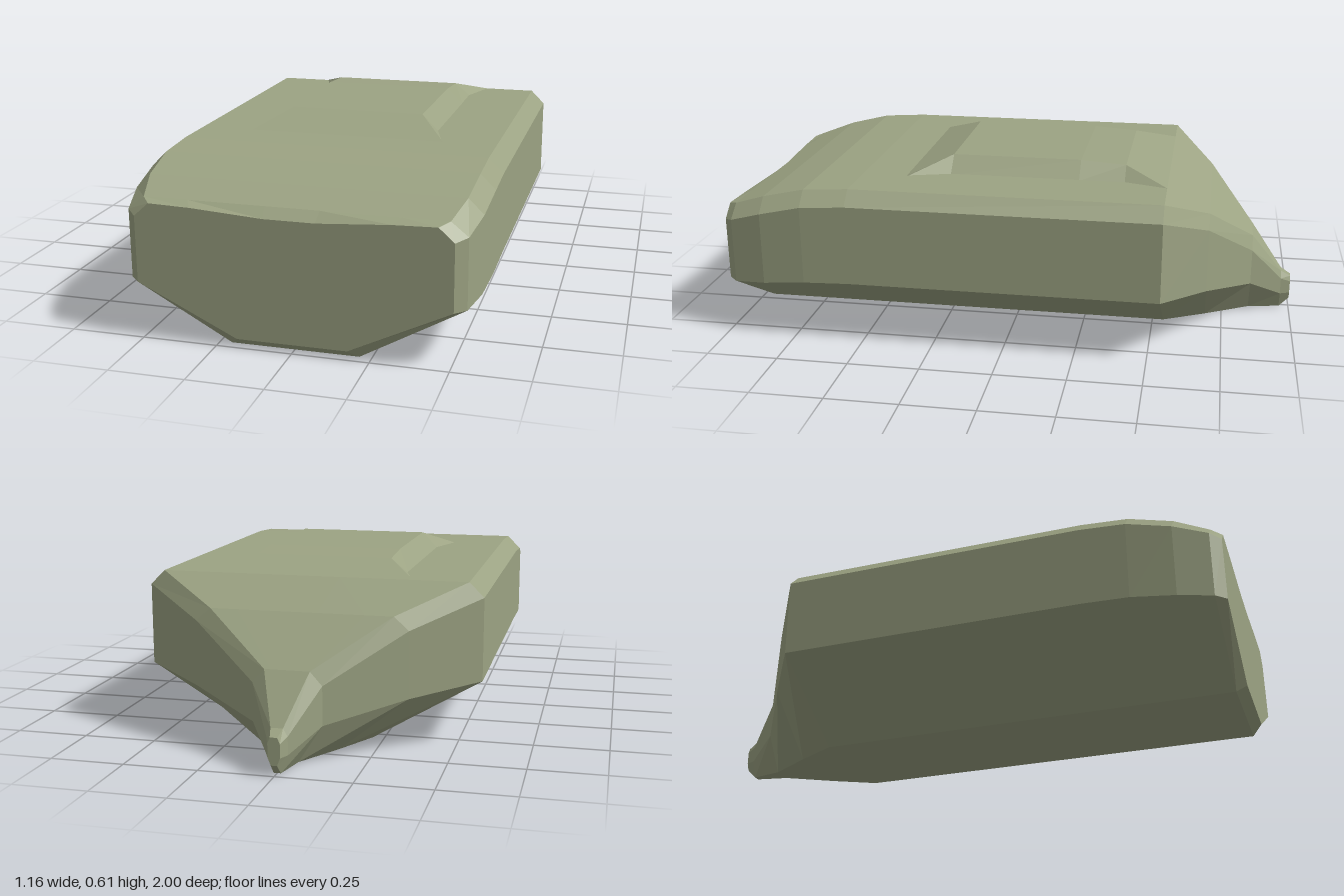
import * as THREE from 'three';

const material = new THREE.MeshStandardMaterial({ color: 0x9ca383, flatShading: true });

// Joins closed rings of [x, y, z] points, ordered front to back, and caps both ends.
function loft(name, rings) {
  const pos = [];
  const tri = (a, b, c) => pos.push(...a, ...b, ...c);
  const n = rings[0].length;
  for (let i = 0; i < rings.length - 1; i++) {
    for (let j = 0; j < n; j++) {
      const k = (j + 1) % n;
      const [a, b, c, d] = [rings[i][j], rings[i][k], rings[i + 1][k], rings[i + 1][j]];
      tri(a, d, c);
      tri(a, c, b);
    }
  }
  const cap = (ring, front) => {
    const mid = [0, (ring[0][1] + ring[n / 2][1]) / 2, ring[0][2]];
    ring.forEach((p, j) => {
      const q = ring[(j + 1) % n];
      if (front) tri(mid, p, q);
      else tri(mid, q, p);
    });
  };
  cap(rings[0], true);
  cap(rings[rings.length - 1], false);
  const geometry = new THREE.BufferGeometry();
  geometry.setAttribute('position', new THREE.Float32BufferAttribute(pos, 3));
  geometry.computeVertexNormals();
  const mesh = new THREE.Mesh(geometry, material);
  mesh.name = name;
  return mesh;
}

// Completes a right-hand half outline (bottom to top) with its mirror image.
function mirrored(half, z) {
  const left = half.map(([x, y]) => [-x, y]).reverse();
  return [...half, ...left].map(([x, y]) => [x, y, z]);
}

export function createModel() {
  const group = new THREE.Group();
  group.name = 'hull';

  // z, bottom half width, bottom y, side half width, side low y, side high y,
  // deck half width, deck y, dip of the deck's middle
  const stations = [
    [1.0, 0.18, 0.03, 0.51, 0.19, 0.41, 0.46, 0.455, 0.02],
    [0.965, 0.21, 0, 0.545, 0.19, 0.42, 0.49, 0.465, 0],
    [0.85, 0.21, 0, 0.57, 0.2, 0.455, 0.52, 0.505, 0],
    [0.7, 0.21, 0, 0.58, 0.215, 0.49, 0.53, 0.54, 0],
    [0.54, 0.21, 0, 0.58, 0.22, 0.5, 0.53, 0.55, 0],
    [-0.54, 0.21, 0, 0.58, 0.22, 0.5, 0.53, 0.55, 0],
    [-0.69, 0.13, 0, 0.36, 0.185, 0.41, 0.31, 0.455, 0],
    [-0.85, 0.035, 0, 0.115, 0.125, 0.255, 0.075, 0.3, 0],
    [-0.965, 0.012, 0, 0.035, 0.06, 0.12, 0.02, 0.145, 0],
    [-1.0, 0.01, 0.035, 0.02, 0.06, 0.105, 0.012, 0.125, 0],
  ];
  group.add(loft('body', stations.map(([z, b, yb, w, yl, yu, t, yt, dip]) => mirrored([
    [b, yb], [w, yl], [w, yu], [t, yt], [t * 0.7, yt - dip * 0.2], [t * 0.18, yt - dip],
  ], z))));

  // Raised roof panel: z, base half width, top half width, top y
  const roof = [
    [0.38, 0.345, 0.345, 0.55],
    [0.23, 0.3, 0.24, 0.607],
    [-0.23, 0.3, 0.24, 0.607],
    [-0.39, 0.3, 0.24, 0.596],
    [-0.54, 0.345, 0.345, 0.55],
  ];
  group.add(loft('roofPanel', roof.map(([z, base, top, y]) => mirrored([[base, 0.547], [top, y]], z))));

  return group;
}
